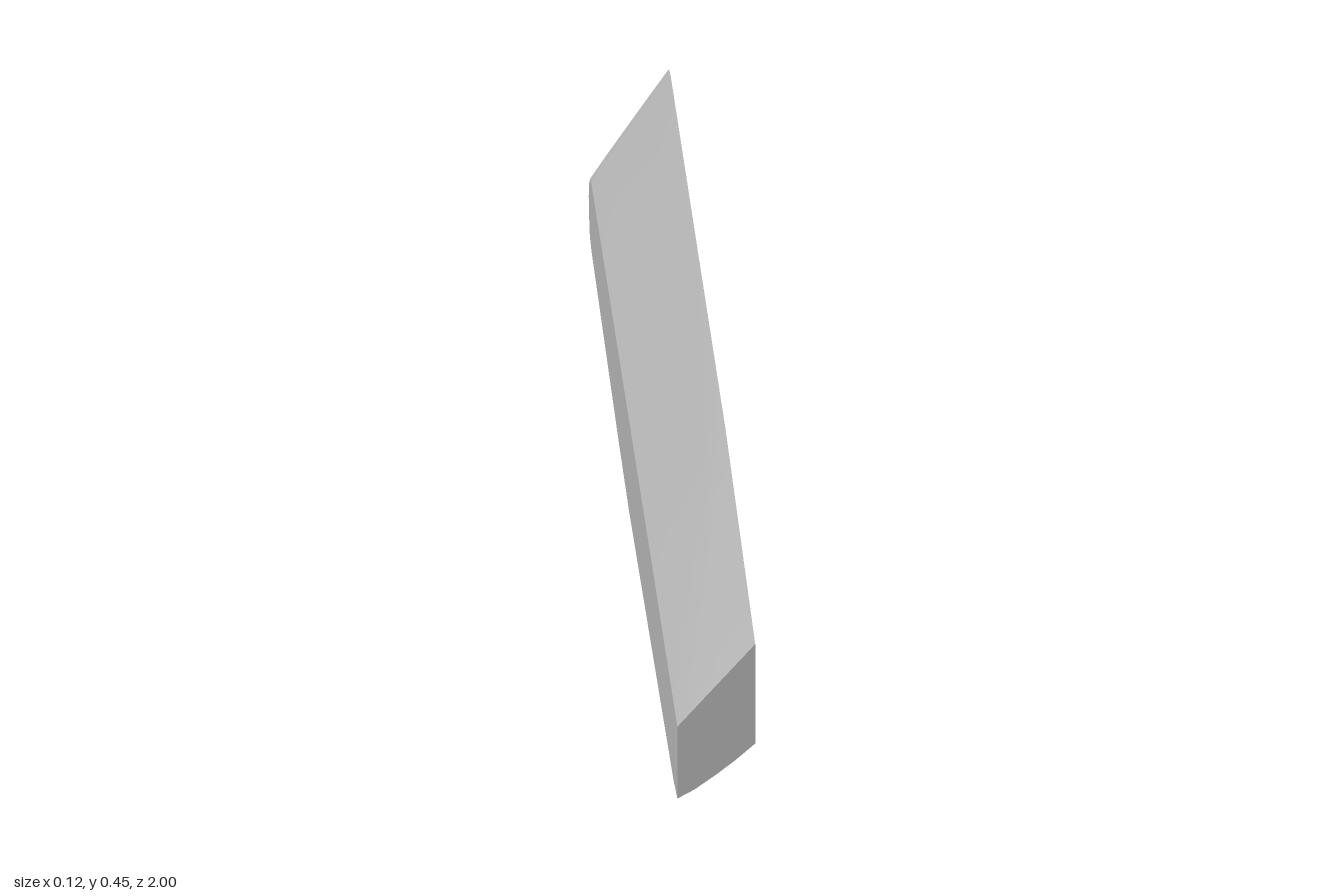
import * as THREE from 'three';
import { toCreasedNormals } from 'three/addons/utils/BufferGeometryUtils.js';

// Matching outline points of the two flat sides: [z, y on +x side, z, y on -x side, bulge z, bulge y]
const OUTLINE = [
  [1, 0.27, 1, 0.13, 0, 0],
  [0.33, 0.36, 1, 0.13, 0, 0],
  [0.33, 0.36, 0.35, 0.174, 0, 0],
  [-0.4, 0.413, -0.55, 0.23, 0, 0],
  [-0.9, 0.45, -0.93, 0.252, 0, 0],
  [-0.935, 0.447, -0.96, 0.25, -0.002, 0.001],
  [-0.97, 0.43, -0.98, 0.235, -0.005, 0],
  [-0.987, 0.4, -0.99, 0.222, -0.007, 0],
  [-0.994, 0.335, -0.993, 0.205, -0.006, 0],
  [-0.985, 0.29, -0.985, 0.175, -0.006, -0.003],
  [-0.97, 0.264, -0.968, 0.146, -0.004, -0.006],
  [-0.88, 0.245, -0.93, 0.136, 0, -0.008],
  [-0.33, 0.173, -0.33, 0.066, 0, -0.008],
  [0, 0.15, -0.09, 0.043, 0, -0.007],
  [0.9, 0.102, 0.92, 0, 0, -0.006],
  [1, 0.097, 1, 0.005, 0, -0.006],
];
const HALF = 0.0625;
// Sections from +x to -x: [fraction across, share of the bulge]
const SECTIONS = [[0, 0], [0.25, 0.75], [0.5, 1], [0.78, 0.9], [1, 0]];

function toGeometry(triangles) {
  const geometry = new THREE.BufferGeometry().setFromPoints(triangles.flat());
  return toCreasedNormals(geometry, 0.4);
}

function createModel() {
  const group = new THREE.Group();
  group.name = 'taperedBlade';
  const grey = new THREE.MeshStandardMaterial({ color: 0xb2b2b2 });
  grey.name = 'plain grey';

  const rings = SECTIONS.map(([t, share]) => OUTLINE.map(([zl, yl, zr, yr, bz, by]) =>
    new THREE.Vector3(
      HALF - 2 * HALF * t,
      yl + (yr - yl) * t + by * share,
      zl + (zr - zl) * t + bz * share)));
  const n = OUTLINE.length;

  const add = (name, triangles) => {
    const solid = triangles.filter((p) => new THREE.Triangle(...p).getArea() > 1e-9);
    const mesh = new THREE.Mesh(toGeometry(solid), grey);
    mesh.name = name;
    group.add(mesh);
  };

  // Slanted rim: top, rounded back, bowed underside and flat front
  const rim = [];
  for (let s = 0; s < rings.length - 1; s++) {
    for (let i = 0; i < n; i++) {
      const k = (i + 1) % n;
      const a = rings[s][i], b = rings[s][k], c = rings[s + 1][i], d = rings[s + 1][k];
      rim.push([a, b, c], [b, d, c]);
    }
  }
  add('slantedRim', rim);

  // Flat sides
  const side = (name, ring, centre, flip) => add(name, ring.map((p, i) => {
    const q = ring[(i + 1) % n];
    return flip ? [centre, p, q] : [centre, q, p];
  }));
  side('leftSide', rings[0], new THREE.Vector3(HALF, 0.27, 0), false);
  side('rightSide', rings[rings.length - 1], new THREE.Vector3(-HALF, 0.12, 0), true);

  return group;
}

export { createModel };
